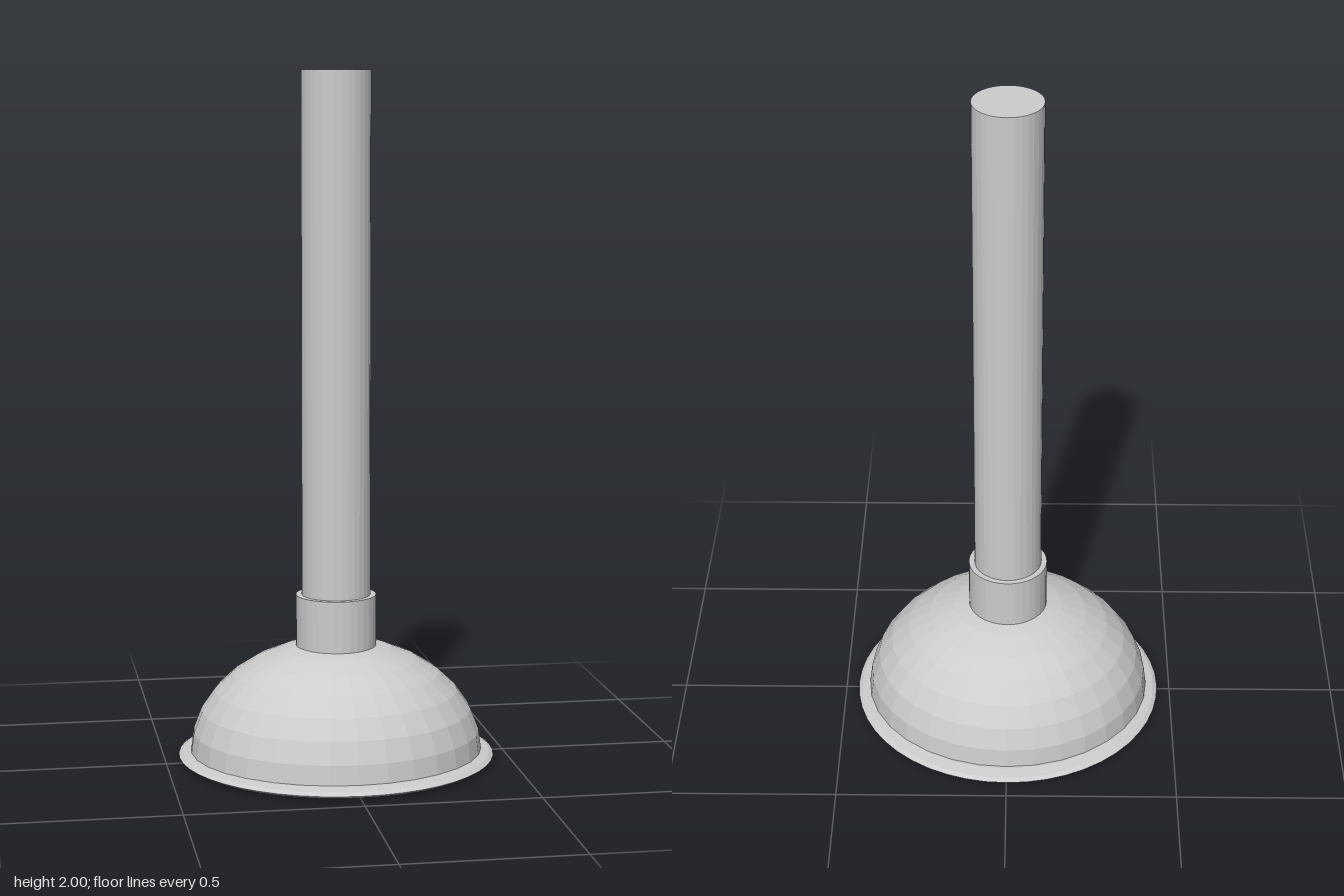
import * as THREE from 'three';

export function createModel() {
  const group = new THREE.Group();
  const grey = new THREE.MeshStandardMaterial({ color: 0xcccccc, flatShading: true, side: THREE.DoubleSide });
  grey.name = 'light grey';

  const add = (name, geometry, y) => {
    const mesh = new THREE.Mesh(geometry, grey);
    mesh.name = name;
    mesh.position.y = y;
    group.add(mesh);
    return mesh;
  };

  // Upright rod and the collar that holds it
  const rod = (name, radius, bottom, top) =>
    add(name, new THREE.CylinderGeometry(radius, radius, top - bottom, 32), (bottom + top) / 2);
  rod('handle', 0.1, 0.36, 2);
  rod('collar', 0.117, 0.325, 0.488);

  // Open hollow cup, slightly narrower in depth
  const cup = add('cup', new THREE.SphereGeometry(1, 32, 8, 0, Math.PI * 2, 0, Math.PI / 2), 0.022);
  cup.scale.set(0.427, 0.33, 0.408);

  // Flattened ring around the mouth of the cup
  const rim = new THREE.TorusGeometry(0.369, 0.0923, 12, 48);
  rim.rotateX(-Math.PI / 2);
  rim.scale(1, 0.0165 / 0.0923, 1);
  add('rim', rim, 0.0165);

  return group;
}
